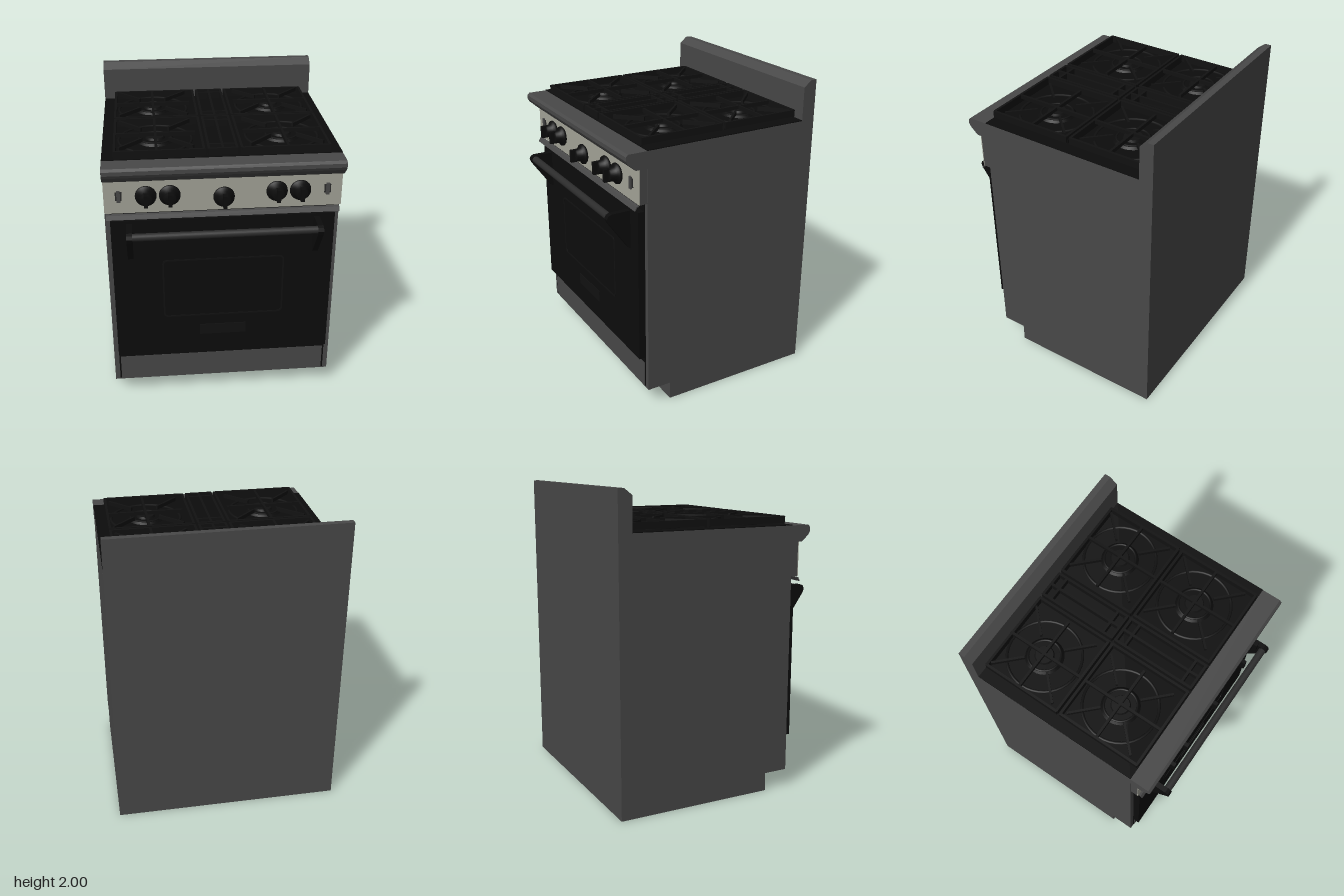
import * as THREE from 'three';

const mat = (name, color) => {
  const m = new THREE.MeshStandardMaterial({ color });
  m.name = name;
  return m;
};

export function createModel() {
  const root = new THREE.Group();
  root.name = 'kitchenRange';
  const steel = mat('darkSteel', 0x484848);
  const panelMat = mat('paleSteel', 0xa4a498);
  const black = mat('blackEnamel', 0x0c0c0c);
  const iron = mat('castIron', 0x111111);
  const barMat = mat('handleMetal', 0x2c2c2c);

  const add = (name, geo, m, x = 0, y = 0, z = 0, parent = root) => {
    const mesh = new THREE.Mesh(geo, m);
    mesh.name = name;
    mesh.position.set(x, y, z);
    parent.add(mesh);
    return mesh;
  };
  // Box given by its min and max on each axis
  const box = (name, m, x0, x1, y0, y1, z0, z1, parent = root) =>
    add(name, new THREE.BoxGeometry(x1 - x0, y1 - y0, z1 - z0), m,
      (x0 + x1) / 2, (y0 + y1) / 2, (z0 + z1) / 2, parent);
  // Side profile of [z, y] points, extruded across x
  const profile = (name, m, pts, width, x = 0) => {
    const shape = new THREE.Shape(pts.map(p => new THREE.Vector2(p[0], p[1])));
    const geo = new THREE.ExtrudeGeometry(shape, { depth: width, bevelEnabled: false });
    geo.rotateY(-Math.PI / 2).translate(width / 2, 0, 0);
    return add(name, geo, m, x);
  };

  // Cabinet with toe kick and chamfered backguard
  profile('cabinet', steel, [[-0.7, 0], [0.34, 0], [0.34, 0.12], [0.5, 0.12], [0.5, 1.745],
    [-0.61, 1.745], [-0.61, 1.96], [-0.66, 2], [-0.7, 2]], 1.465);

  // Rounded front ledge and control panel
  profile('frontLedge', steel, [[0.5, 1.64], [0.575, 1.64], [0.625, 1.685], [0.636, 1.705],
    [0.636, 1.73], [0.622, 1.745], [0.5, 1.745]], 1.465);
  box('controlPanel', steel, -0.73, 0.73, 1.42, 1.64, 0.5, 0.547);
  box('controlPanelFace', panelMat, -0.73, 0.73, 1.42, 1.64, 0.547, 0.553);
  profile('ventLip', steel, [[0.55, 1.415], [0.565, 1.41], [0.578, 1.385], [0.572, 1.385],
    [0.56, 1.405], [0.55, 1.409]], 1.44);

  // Oven opening, door, window and plain plate
  box('doorRecess', black, -0.7, 0.7, 0.31, 1.41, 0.499, 0.505);
  box('ovenDoor', black, -0.7, 0.7, 0.35, 1.36, 0.503, 0.546);
  const frame = new THREE.Shape();
  const roundRect = (p, w, h, r) => {
    p.absarc(w - r, h - r, r, 0, Math.PI / 2);
    p.absarc(-w + r, h - r, r, Math.PI / 2, Math.PI);
    p.absarc(-w + r, -h + r, r, Math.PI, Math.PI * 1.5);
    p.absarc(w - r, -h + r, r, Math.PI * 1.5, Math.PI * 2);
    p.closePath();
    return p;
  };
  roundRect(frame, 0.39, 0.215, 0.03);
  frame.holes.push(roundRect(new THREE.Path(), 0.38, 0.205, 0.025));
  add('windowTrim', new THREE.ExtrudeGeometry(frame, { depth: 0.003, bevelEnabled: false }),
    iron, 0, 0.857, 0.546);
  box('doorPlate', iron, -0.155, 0.15, 0.495, 0.57, 0.546, 0.552);

  // Lower panel with side gaps
  box('lowerPanel', steel, -0.69, 0.69, 0.13, 0.31, 0.5, 0.506);
  for (const s of [-1, 1]) box('panelGap', black, s * 0.696 - 0.005, s * 0.696 + 0.005, 0.13, 0.31, 0.5, 0.503);

  // Door handle: two brackets and a bar
  for (const s of [-1, 1]) {
    profile('handleBracket', black, [[0.545, 1.09], [0.56, 1.1], [0.69, 1.285], [0.7, 1.31],
      [0.69, 1.332], [0.67, 1.34], [0.545, 1.34]], 0.035, s * 0.585);
  }
  const bar = new THREE.CylinderGeometry(0.024, 0.024, 1.15, 20).rotateZ(Math.PI / 2);
  add('handleBar', bar, barMat, 0, 1.31, 0.668);

  // Knobs: skirt, body and grip, turned on the z axis
  const skirt = [[0, 0], [0.058, 0], [0.066, 0.008], [0.064, 0.02], [0.045, 0.03],
    [0.04, 0.062], [0.034, 0.07], [0, 0.07]].map(p => new THREE.Vector2(...p));
  const knobGeo = new THREE.LatheGeometry(skirt, 28).rotateX(Math.PI / 2);
  for (const [x, y] of [[-0.475, 1.535], [-0.33, 1.535], [0, 1.51], [0.325, 1.535], [0.47, 1.535]]) {
    const knob = new THREE.Group();
    knob.name = 'knob';
    knob.position.set(x, y, 0.553);
    add('knobBody', knobGeo, black, 0, 0, 0, knob);
    box('knobGrip', black, -0.012, 0.012, -0.04, 0.04, 0.03, 0.097, knob);
    root.add(knob);
  }

  // Rocker switches at both ends of the panel
  for (const s of [-1, 1]) {
    box('switchFrame', barMat, s * 0.64 - 0.02, s * 0.64 + 0.02, 1.507, 1.563, 0.553, 0.558);
    box('switchRocker', steel, s * 0.64 - 0.011, s * 0.64 + 0.011, 1.497, 1.573, 0.556, 0.567);
  }

  // Cooktop surface
  box('cooktop', black, -0.732, 0.732, 1.743, 1.75, -0.61, 0.498);

  // Burners and their grates
  const grates = new THREE.Group();
  grates.name = 'grates';
  root.add(grates);
  const ring = (r, t) => new THREE.TorusGeometry(r, t, 6, 40).rotateX(Math.PI / 2);
  const barX = (x0, x1, z, y0 = 1.775) => box('grateBar', iron, x0, x1, y0, 1.8, z - 0.008, z + 0.008, grates);
  const barZ = (x, z0, z1, y0 = 1.775) => box('grateBar', iron, x - 0.008, x + 0.008, y0, 1.8, z0, z1, grates);

  for (const s of [-1, 1]) {
    for (const z of [-0.36, 0.2]) {
      const x = s * 0.4;
      add('burnerBase', new THREE.CylinderGeometry(0.105, 0.12, 0.014, 32), black, x, 1.757, z);
      add('burnerCap', new THREE.CylinderGeometry(0.055, 0.062, 0.016, 28), iron, x, 1.77, z);
      add('burnerBowl', ring(0.23, 0.009), iron, x, 1.753, z);
      add('burnerRing', ring(0.1, 0.007), iron, x, 1.764, z);
      // Cross and diagonal fingers toward the burner
      barX(x - 0.25, x + 0.25, z);
      barZ(x, z - 0.25, z + 0.28);
      for (let i = 0; i < 4; i++) {
        const a = Math.PI / 4 + i * Math.PI / 2;
        const finger = add('grateFinger', new THREE.BoxGeometry(0.2, 0.025, 0.014), iron,
          x + Math.cos(a) * 0.22, 1.787, z + Math.sin(a) * 0.22, grates);
        finger.rotation.y = -a;
      }
    }
    // Frame around each side grate
    const x0 = Math.min(s * 0.115, s * 0.652), x1 = Math.max(s * 0.115, s * 0.652);
    for (const z of [-0.6, -0.085, -0.055, 0.487]) barX(x0, x1, z, 1.75);
    for (const x of [x0, x1]) {
      barZ(x, -0.605, -0.08, 1.757);
      barZ(x, -0.06, 0.492, 1.757);
    }
  }

  // Narrow centre grate
  for (const x of [-0.085, 0, 0.085]) {
    barZ(x, -0.605, -0.08, 1.757);
    barZ(x, -0.06, 0.492, 1.757);
  }
  for (const z of [-0.6, -0.54, -0.15, -0.085, -0.055, 0.01, 0.42, 0.487]) barX(-0.09, 0.09, z, 1.757);

  return root;
}
